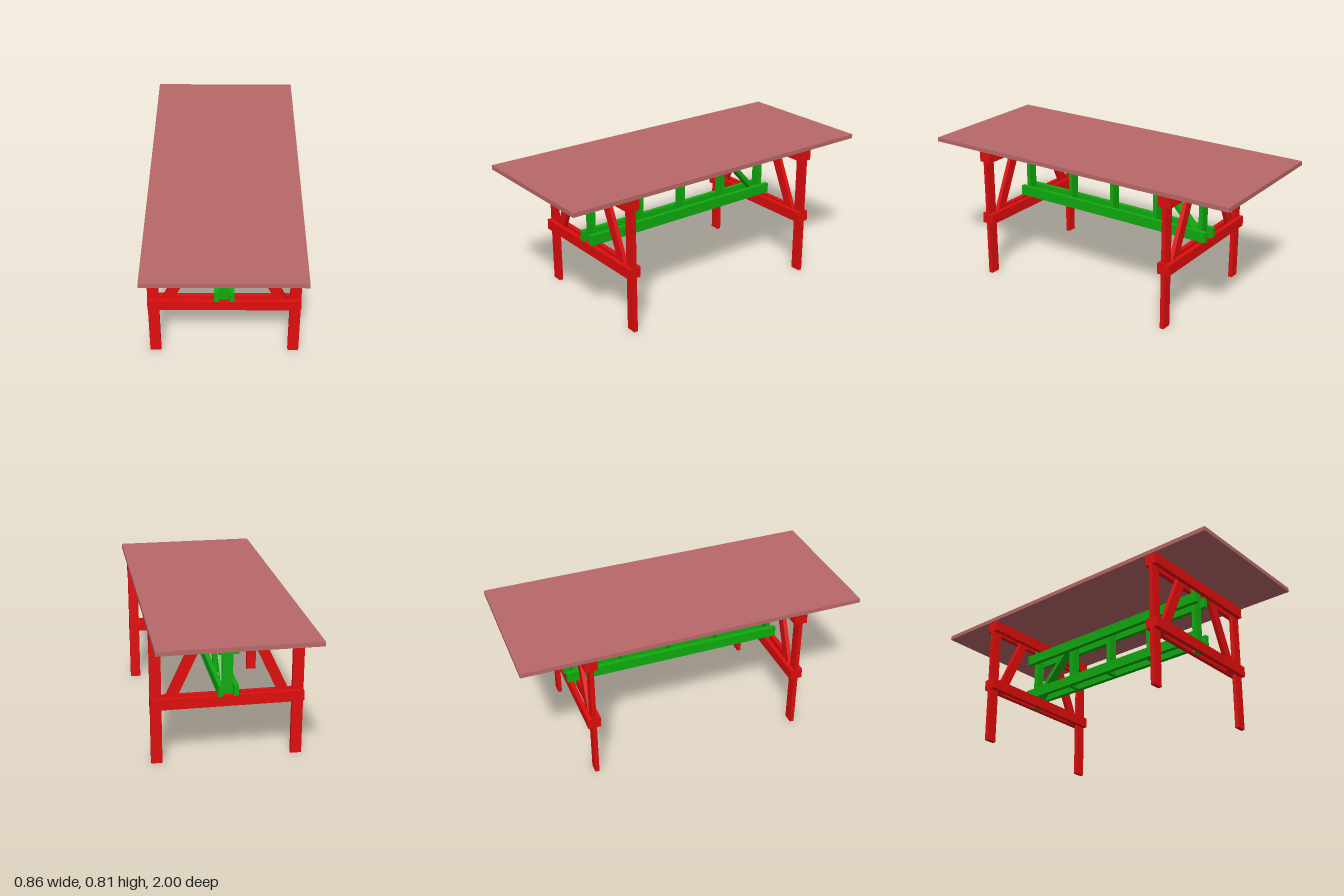
import * as THREE from 'three';

const red = new THREE.MeshStandardMaterial({ color: 0xe00d0d });
const green = new THREE.MeshStandardMaterial({ color: 0x0fab0f });
const topColor = new THREE.MeshStandardMaterial({ color: 0xb86868 });

// Board given by its min and max along each axis
function board(name, material, [x0, x1], [y0, y1], [z0, z1]) {
  const mesh = new THREE.Mesh(new THREE.BoxGeometry(x1 - x0, y1 - y0, z1 - z0), material);
  mesh.position.set((x0 + x1) / 2, (y0 + y1) / 2, (z0 + z1) / 2);
  mesh.name = name;
  return mesh;
}

// Slanted board with level cut ends, centred on its thickness
function slanted(name, material, bottom, top, halfWidth, thickness) {
  const shape = new THREE.Shape([
    new THREE.Vector2(bottom[0] - halfWidth, bottom[1]),
    new THREE.Vector2(bottom[0] + halfWidth, bottom[1]),
    new THREE.Vector2(top[0] + halfWidth, top[1]),
    new THREE.Vector2(top[0] - halfWidth, top[1]),
  ]);
  const geometry = new THREE.ExtrudeGeometry(shape, { depth: thickness, bevelEnabled: false });
  geometry.translate(0, 0, -thickness / 2);
  const mesh = new THREE.Mesh(geometry, material);
  mesh.name = name;
  return mesh;
}

const LEG_T = 0.024; // thickness of legs and braces
const RAIL_Z = 0.037; // outer face of the paired rails

// End frame: two legs and two braces clamped between paired rails
function createTrestle(name, z) {
  const trestle = new THREE.Group();
  trestle.name = name;
  const core = [-LEG_T / 2, LEG_T / 2];
  for (const side of [-1, 1]) {
    const label = side > 0 ? 'left' : 'right';
    const x = side > 0 ? [0.363, 0.425] : [-0.425, -0.363];
    trestle.add(board(label + 'Leg', red, x, [0, 0.785], core));
    trestle.add(slanted(label + 'Brace', red, [side * 0.336, 0.335], [side * 0.129, 0.78], 0.0325, LEG_T));
    const railZ = side > 0 ? [LEG_T / 2, RAIL_Z] : [-RAIL_Z, -LEG_T / 2];
    trestle.add(board('topRail', red, [-0.425, 0.425], [0.722, 0.785], railZ));
    trestle.add(board('lowerRail', red, [-0.425, 0.425], [0.33, 0.392], railZ));
  }
  // Centre post joining the frame to the stretcher
  trestle.add(board('centrePost', green, [-0.03, 0.03], [0.335, 0.78], core));
  trestle.position.z = z;
  return trestle;
}

// Long truss: paired chords with struts and one diagonal between them
function createStretcher() {
  const stretcher = new THREE.Group();
  stretcher.name = 'stretcher';
  for (const x of [[-0.056, -0.03], [0.03, 0.056]]) {
    stretcher.add(board('upperChord', green, x, [0.635, 0.697], [-0.662, 0.668]));
    stretcher.add(board('lowerChord', green, x, [0.392, 0.453], [-0.662, 0.668]));
  }
  for (const z of [0.3, -0.005, -0.31]) {
    stretcher.add(board('strut', green, [-0.03, 0.03], [0.392, 0.697], [z - 0.0125, z + 0.0125]));
  }
  const diagonal = slanted('diagonalBrace', green, [-0.6, 0.396], [-0.332, 0.69], 0.017, 0.06);
  diagonal.rotation.y = -Math.PI / 2;
  stretcher.add(diagonal);
  return stretcher;
}

export function createModel() {
  const table = new THREE.Group();
  table.name = 'trestleTable';
  table.add(board('tableTop', topColor, [-0.43, 0.43], [0.785, 0.81], [-1, 1]));
  table.add(createTrestle('frontTrestle', 0.63));
  table.add(createTrestle('backTrestle', -0.615));
  table.add(createStretcher());
  return table;
}
